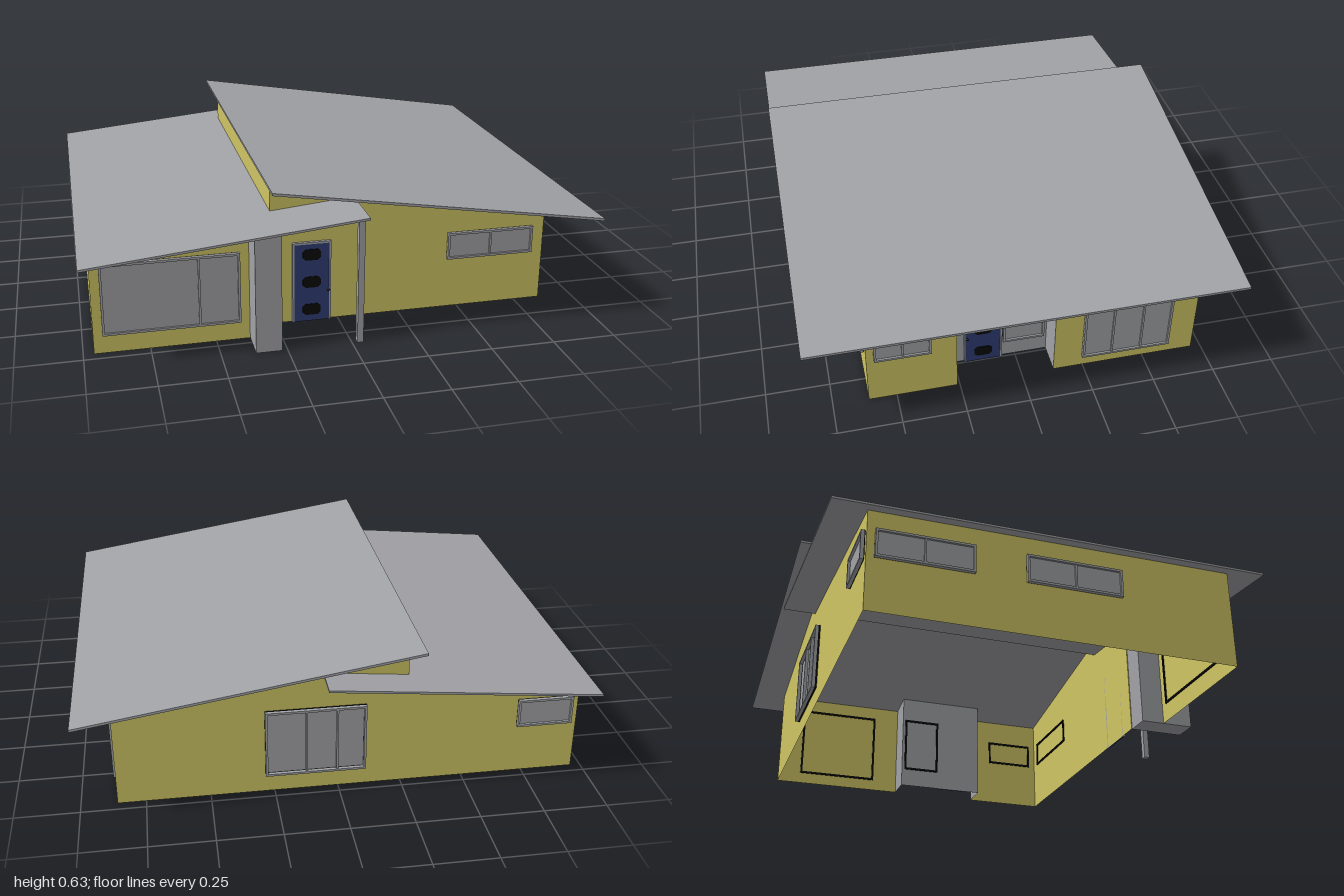
import * as THREE from 'three';

export function createModel() {
  const mat = (name, color) => {
    const m = new THREE.MeshStandardMaterial({ color, side: THREE.DoubleSide });
    m.name = name;
    return m;
  };
  const yellow = mat('yellow wall', 0xcfc564);
  const gray = mat('gray', 0xa2a3a7);
  const blue = mat('door blue', 0x2f3e73);
  const black = mat('black', 0x080808);

  const house = new THREE.Group();
  house.name = 'house';

  // One group per facing: local x runs along the wall, local z points outward
  const facing = (name, angle) => {
    const g = new THREE.Group();
    g.name = name;
    g.rotation.y = angle;
    house.add(g);
    return g;
  };
  const front = facing('frontSide', 0);          // u = x
  const right = facing('plusXSide', Math.PI / 2);   // u = -z
  const back = facing('backSide', Math.PI);        // u = -x
  const left = facing('minusXSide', -Math.PI / 2);  // u = z

  const put = (parent, name, geo, material, x = 0, y = 0, z = 0) => {
    const m = new THREE.Mesh(geo, material);
    m.name = name;
    m.position.set(x, y, z);
    parent.add(m);
    return m;
  };
  const box = (parent, name, material, x0, x1, y0, y1, z0, z1) =>
    put(parent, name, new THREE.BoxGeometry(x1 - x0, y1 - y0, z1 - z0), material,
      (x0 + x1) / 2, (y0 + y1) / 2, (z0 + z1) / 2);
  const outline = (pts) => new THREE.Shape(pts.map(([x, y]) => new THREE.Vector2(x, y)));
  const rect = (x0, x1, y0, y1) => [[x0, y0], [x1, y0], [x1, y1], [x0, y1]];
  const wall = (parent, name, pts, offset, material = yellow) =>
    put(parent, name, new THREE.ShapeGeometry(outline(pts)), material, 0, 0, offset);

  // Rectangular ring with a hole, extruded outward
  const ring = (parent, name, material, x0, x1, y0, y1, w, z0, z1) => {
    const s = outline(rect(x0, x1, y0, y1));
    s.holes.push(outline(rect(x0 + w, x1 - w, y0 + w, y1 - w)));
    const geo = new THREE.ExtrudeGeometry(s, { depth: z1 - z0, bevelEnabled: false });
    return put(parent, name, geo, material, 0, 0, z0);
  };

  // Window: dark seal through the wall, raised frame, pane and mullions
  const addWindow = (parent, offset, x0, x1, y0, y1, splits = [], seal = 0.001) => {
    const g = new THREE.Group();
    g.name = 'window';
    g.position.z = offset;
    parent.add(g);
    ring(g, 'windowSeal', black, x0, x1, y0, y1, 0.009, -0.005, seal);
    ring(g, 'windowFrame', gray, x0, x1, y0, y1, 0.009, seal, seal + 0.013);
    box(g, 'windowPane', gray, x0 + 0.008, x1 - 0.008, y0 + 0.008, y1 - 0.008, 0.002, 0.006);
    for (const s of splits)
      box(g, 'mullion', gray, s - 0.004, s + 0.004, y0 + 0.008, y1 - 0.008, 0.004, seal + 0.011);
  };

  // Door: blue leaf, gray casing, three dark eight-sided inserts and a knob
  const addDoor = (parent, offset, x, knobX) => {
    const g = new THREE.Group();
    g.name = 'door';
    g.position.set(x, 0, offset);
    parent.add(g);
    box(g, 'doorLeaf', blue, -0.07, 0.07, 0, 0.328, 0.001, 0.008);
    for (const s of [-1, 1])
      box(g, 'doorCasing', gray, s * 0.0735 - 0.0035, s * 0.0735 + 0.0035, 0, 0.328, 0, 0.012);
    box(g, 'doorCasingTop', gray, -0.077, 0.077, 0.328, 0.336, 0, 0.012);
    const insert = outline([[-0.036, -0.012], [-0.024, -0.023], [0.024, -0.023], [0.036, -0.012],
      [0.036, 0.012], [0.024, 0.023], [-0.024, 0.023], [-0.036, 0.012]]);
    for (const y of [0.05, 0.167, 0.283])
      put(g, 'doorInsert', new THREE.ExtrudeGeometry(insert, { depth: 0.005, bevelEnabled: false }),
        black, 0, y, 0.006);
    put(g, 'doorKnob', new THREE.SphereGeometry(0.006, 10, 8), black, knobX, 0.13, 0.014);
  };

  // Walls (open shell, no floor)
  wall(front, 'mainFrontWall', [[-0.27, 0], [0.86, 0], [0.86, 0.432], [-0.27, 0.614]], 0.61);
  wall(front, 'wingFrontWall', [[-0.96, 0], [-0.27, 0], [-0.27, 0.465], [-0.96, 0.396]], 0.71);
  wall(back, 'backWall', [[-0.86, 0], [0.96, 0], [0.96, 0.396], [0.27, 0.465], [0.27, 0.614],
    [-0.86, 0.432]], 0.71);
  wall(left, 'wingSideWall', rect(-0.71, 0.71, 0, 0.396), 0.96);
  wall(left, 'clerestoryWall', rect(-0.71, 0.61, 0.463, 0.614), 0.27);
  wall(right, 'wingReturnWall', rect(-0.71, -0.61, 0, 0.465), -0.27);
  wall(right, 'sideWallFront', rect(-0.61, -0.26, 0, 0.432), 0.86);
  wall(right, 'sideWallBack', rect(0.13, 0.71, 0, 0.432), 0.86);

  // Recessed side entrance
  const cheek = [[0.74, 0], [0.86, 0], [0.86, 0.432], [0.74, 0.451]];
  wall(right, 'recessBackWall', rect(-0.26, 0.13, 0, 0.451), 0.74, gray);
  wall(front, 'recessCheek', cheek, -0.13, gray);
  wall(back, 'recessCheek', cheek.map(([x, y]) => [-x, y]), -0.26, gray);

  // Sloping roof slabs, profile in x and y, extruded along z
  const roof = (name, x0, y0, x1, y1, t) => put(house, name, new THREE.ExtrudeGeometry(
    outline([[x0, y0 - t], [x1, y1 - t], [x1, y1], [x0, y0]]),
    { depth: 1.694, bevelEnabled: false }), gray, 0, 0, -0.847);
  roof('lowerRoof', -1, 0.402, 0.06, 0.507, 0.009);
  roof('upperRoof', -0.305, 0.632, 1, 0.424, 0.01);

  // Entrance pier (top follows the roof) and slim post
  put(house, 'entrancePier', new THREE.ExtrudeGeometry(
    outline([[-0.37, 0], [-0.27, 0], [-0.27, 0.466], [-0.37, 0.456]]),
    { depth: 0.225, bevelEnabled: false }), gray, 0, 0, 0.613);
  box(house, 'porchPost', gray, 0.02, 0.044, 0, 0.496, 0.815, 0.839);

  // Windows
  addWindow(front, 0.71, -0.925, -0.405, 0.075, 0.36, [-0.56]);
  addWindow(front, 0.61, 0.45, 0.81, 0.21, 0.322, [0.63]);
  addWindow(right, 0.86, -0.58, -0.36, 0.21, 0.322, [-0.47]);
  addWindow(right, 0.86, 0.245, 0.605, 0.05, 0.375, [0.365, 0.485]);
  addWindow(right, 0.74, -0.05, 0.118, 0.082, 0.34);
  addWindow(back, 0.71, -0.285, 0.108, 0.078, 0.36, [-0.125, -0.005], 0.008);
  addWindow(back, 0.71, 0.715, 0.937, 0.21, 0.328, [], 0.003);
  addWindow(left, 0.96, -0.68, -0.315, 0.21, 0.322, [-0.5]);
  addWindow(left, 0.96, -0.12, 0.255, 0.21, 0.322, [0.07]);

  // Doors
  addDoor(front, 0.61, -0.107, 0.066);
  addDoor(right, 0.74, -0.132, -0.066);

  return house;
}
